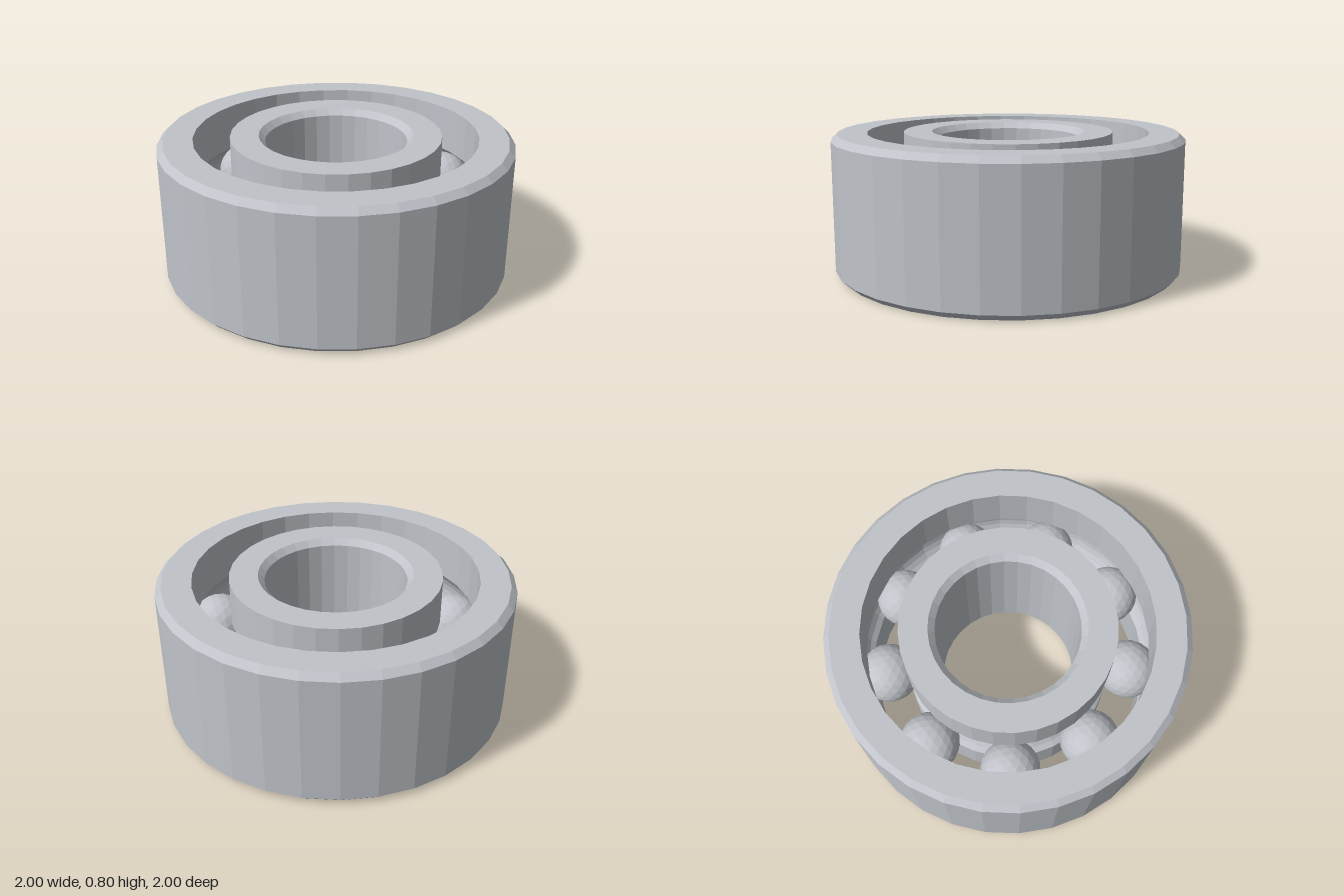
import * as THREE from 'three';

const HEIGHT = 0.8, CHAMFER = 0.035, SEGMENTS = 32;
const PITCH = 0.696, BALL_RADIUS = 0.168, GROOVE_RADIUS = 0.17, BALLS = 9;

// Raceway arc cut into a wall at the given radius, listed from bottom to top
function raceway(wall, steps = 8) {
  const side = Math.sign(wall - PITCH);
  const limit = Math.acos(Math.abs(wall - PITCH) / GROOVE_RADIUS);
  return Array.from({ length: steps + 1 }, (_, i) => {
    const a = -limit + (2 * limit * i) / steps;
    return [PITCH + side * GROOVE_RADIUS * Math.cos(a), HEIGHT / 2 + GROOVE_RADIUS * Math.sin(a)];
  });
}

// Closed, counter-clockwise profile turned around the axis
function ring(name, profile, material) {
  const points = [...profile, profile[0]].map(([r, y]) => new THREE.Vector2(r, y));
  const mesh = new THREE.Mesh(new THREE.LatheGeometry(points, SEGMENTS), material);
  mesh.name = name;
  return mesh;
}

export function createModel() {
  const model = new THREE.Group();
  model.name = 'ballBearing';
  const steel = new THREE.MeshStandardMaterial({ color: 0xc0c4ca, flatShading: true });
  steel.name = 'steel';

  // Outer ring: chamfered rim, grooved inner wall
  const outerWall = 0.8;
  model.add(ring('outerRing', [
    [outerWall, 0], [1 - CHAMFER, 0], [1, CHAMFER],
    [1, HEIGHT - CHAMFER], [1 - CHAMFER, HEIGHT], [outerWall, HEIGHT],
    ...raceway(outerWall).reverse(),
  ], steel));

  // Inner ring: chamfered bore, grooved outer wall
  const bore = 0.4, innerWall = 0.595;
  model.add(ring('innerRing', [
    [bore + CHAMFER, 0], [innerWall, 0],
    ...raceway(innerWall),
    [innerWall, HEIGHT], [bore + CHAMFER, HEIGHT],
    [bore, HEIGHT - CHAMFER], [bore, CHAMFER],
  ], steel));

  // Balls spaced evenly around the raceway
  const balls = new THREE.Group();
  balls.name = 'balls';
  const ballGeometry = new THREE.IcosahedronGeometry(BALL_RADIUS, 3);
  for (let i = 0; i < BALLS; i++) {
    const a = (i / BALLS) * Math.PI * 2;
    const ball = new THREE.Mesh(ballGeometry, steel);
    ball.name = `ball${i + 1}`;
    ball.position.set(PITCH * Math.cos(a), HEIGHT / 2, PITCH * Math.sin(a));
    balls.add(ball);
  }
  model.add(balls);
  return model;
}
